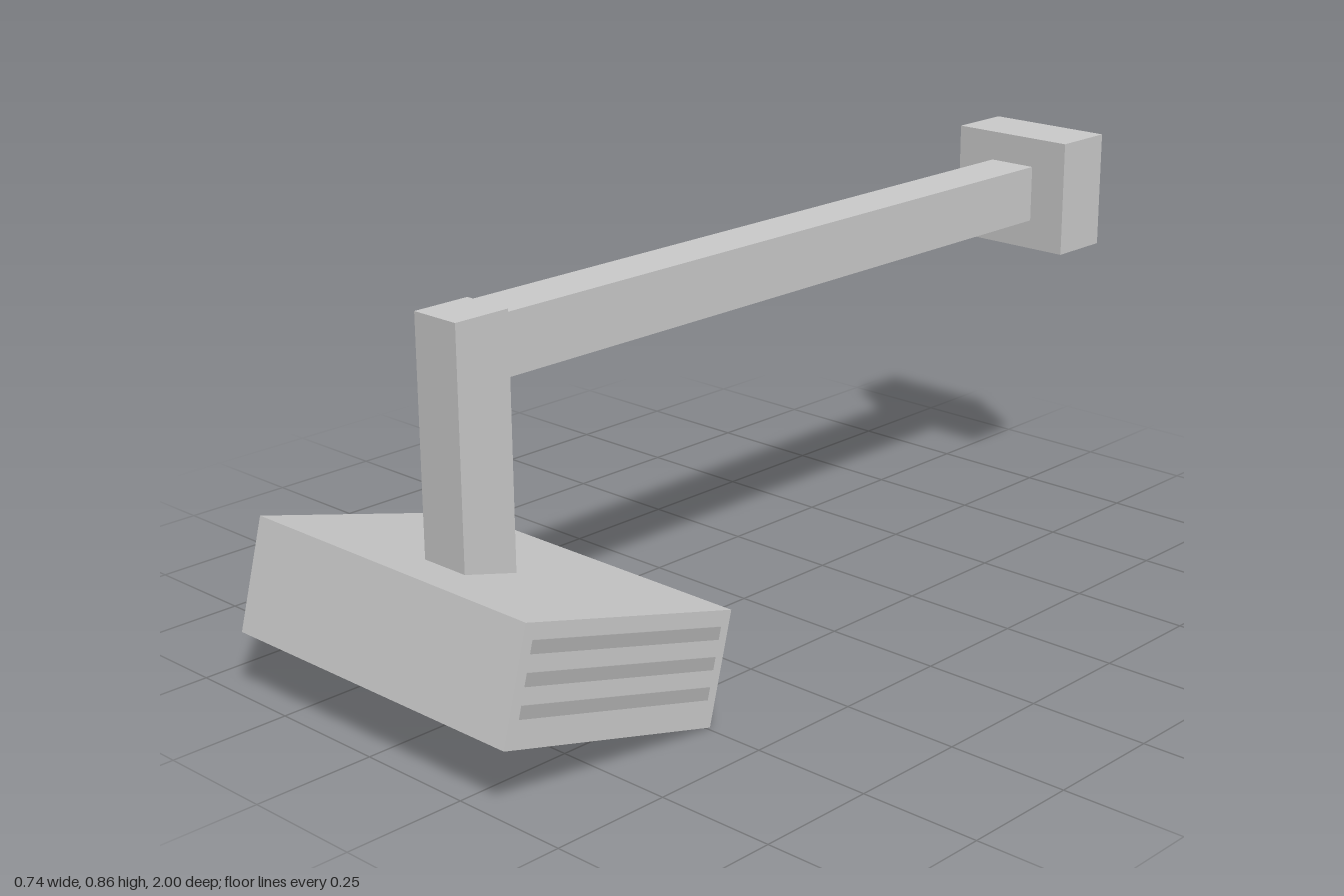
import * as THREE from 'three';

const grey = new THREE.MeshStandardMaterial({ color: 0xcccccc, flatShading: true });
const slotGrey = new THREE.MeshStandardMaterial({ color: 0xb0b0b0 });

function addBox(parent, name, size, position, material = grey) {
  const mesh = new THREE.Mesh(new THREE.BoxGeometry(...size), material);
  mesh.name = name;
  mesh.position.set(...position);
  parent.add(mesh);
  return mesh;
}

export function createModel() {
  const model = new THREE.Group();
  model.name = 'wallArmLamp';

  // Mounting block, horizontal arm and the post that drops into the head
  addBox(model, 'wallMount', [0.288, 0.25, 0.14], [0.017, 0.73, -0.93]);
  addBox(model, 'arm', [0.11, 0.122, 1.56], [0.02, 0.73, -0.08]);
  addBox(model, 'post', [0.11, 0.557, 0.124], [0.02, 0.5185, 0.76]);

  // Head, tilted so that its front edge is raised
  const width = 0.74, height = 0.227, depth = 0.525;
  const head = new THREE.Group();
  head.name = 'head';
  head.position.set(0, 0.1775, 0.717);
  head.rotation.x = -THREE.MathUtils.degToRad(15);
  model.add(head);
  addBox(head, 'headBody', [width, height, depth], [0, 0, 0]);

  // Three vent strips on each side
  for (const side of [-1, 1]) {
    for (let i = -1; i <= 1; i++) {
      addBox(head, 'ventStrip', [0.004, 0.025, 0.48],
        [side * width / 2, 0.012 + i * 0.058, 0], slotGrey);
    }
  }

  // Eight-sided knob on the back
  const knobGeometry = new THREE.CylinderGeometry(0.077, 0.077, 0.035, 8);
  knobGeometry.rotateY(Math.PI / 8).rotateX(Math.PI / 2);
  const knob = new THREE.Mesh(knobGeometry, grey);
  knob.name = 'knob';
  knob.position.set(0.209, 0, -depth / 2 - 0.009);
  head.add(knob);

  return model;
}
